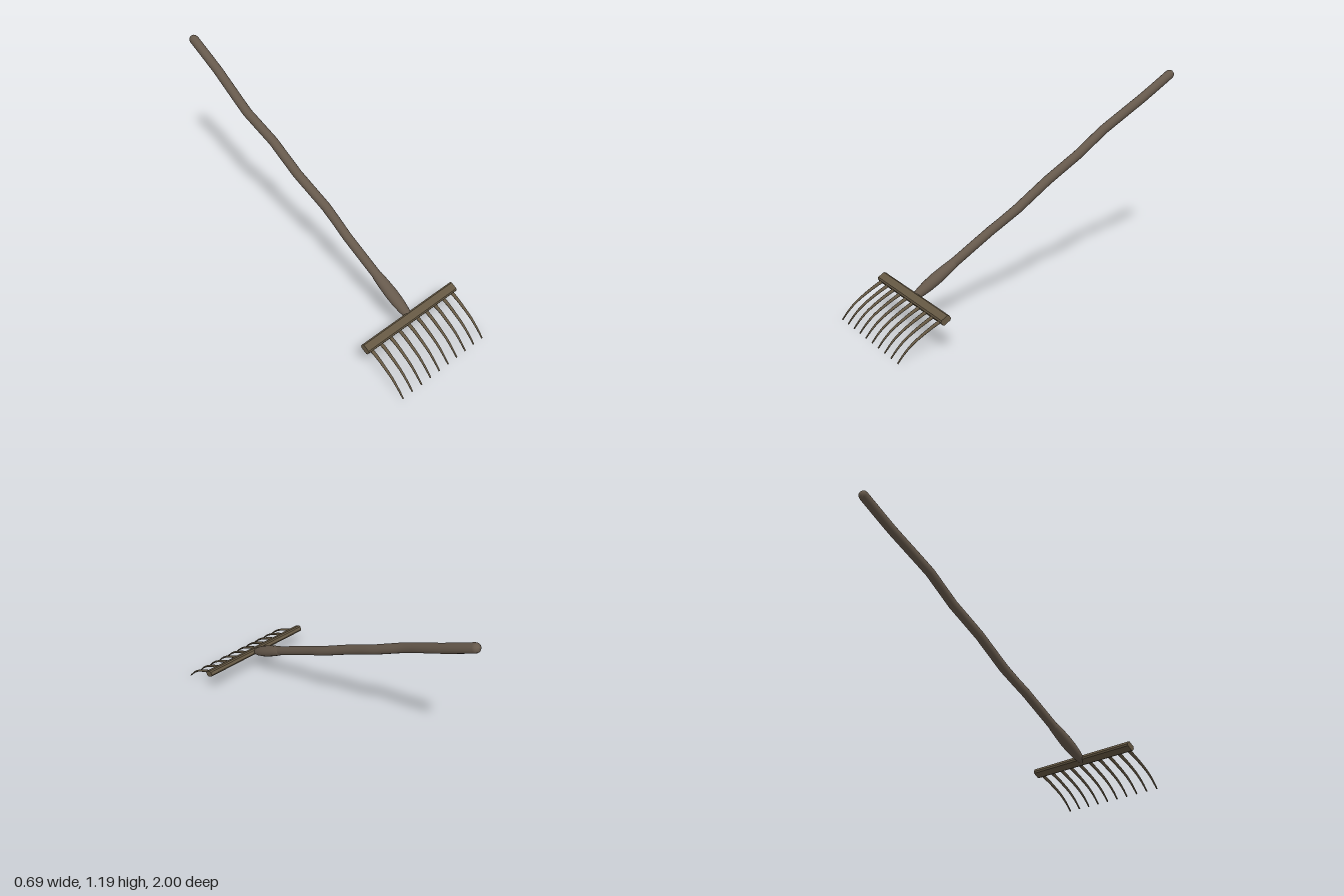
import * as THREE from 'three';

const handleWood = new THREE.MeshStandardMaterial({ color: 0x66594c });
handleWood.name = 'handle wood';
const headWood = new THREE.MeshStandardMaterial({ color: 0x655843 });
headWood.name = 'head wood';

const SLOPE = Math.PI / 6;
const axisY = (z) => 0.606 - Math.tan(SLOPE) * z; // sloping line of the handle

// Skin elliptical rings [x, y, z, sideRadius, depthRadius] into a tube
function loft(name, rings, sides, material) {
  const centres = rings.map((r) => new THREE.Vector3(r[0], r[1], r[2]));
  const positions = [], index = [];
  rings.forEach(([, , , rx, ry = rx], i) => {
    const before = centres[Math.max(i - 1, 0)];
    const after = centres[Math.min(i + 1, rings.length - 1)];
    const dir = after.clone().sub(before).normalize();
    const u = new THREE.Vector3(1, 0, 0).addScaledVector(dir, -dir.x).normalize();
    const v = dir.clone().cross(u);
    for (let j = 0; j < sides; j++) {
      const a = (j / sides) * Math.PI * 2;
      const p = centres[i].clone()
        .addScaledVector(u, rx * Math.cos(a))
        .addScaledVector(v, ry * Math.sin(a));
      positions.push(p.x, p.y, p.z);
      if (i === 0) continue;
      const k = (j + 1) % sides, lo = (i - 1) * sides, hi = i * sides;
      index.push(lo + j, lo + k, hi + k, lo + j, hi + k, hi + j);
    }
  });
  const geometry = new THREE.BufferGeometry();
  geometry.setAttribute('position', new THREE.Float32BufferAttribute(positions, 3));
  geometry.setIndex(index);
  geometry.computeVertexNormals();
  const mesh = new THREE.Mesh(geometry, material);
  mesh.name = name;
  return mesh;
}

export function createModel() {
  const model = new THREE.Group();
  model.name = 'rake';

  // Crooked handle with a domed end: [x, z, radius]
  const handle = [
    [0, 0.55, 0.026], [0, 0.49, 0.026], [0, 0.26, 0.026], [0.006, 0.18, 0.026],
    [0.01, 0.09, 0.027], [0.006, 0.03, 0.027], [-0.005, -0.12, 0.027],
    [-0.002, -0.23, 0.027], [0.001, -0.32, 0.027], [-0.012, -0.45, 0.027],
    [-0.018, -0.51, 0.027], [-0.014, -0.58, 0.027], [-0.001, -0.77, 0.027],
    [0, -0.85, 0.027], [0, -0.973, 0.027], [0, -0.985, 0.0235],
    [0, -0.993, 0.015], [0, -0.997, 0],
  ].map(([x, z, r]) => [x, axisY(z), z, r]);
  model.add(loft('handle', handle, 14, handleWood));

  // Swollen socket joining the handle to the head
  const socket = [
    [0.488, 0.024], [0.493, 0.029], [0.54, 0.033], [0.6, 0.036], [0.65, 0.034],
    [0.69, 0.029], [0.725, 0.021], [0.74, 0.014], [0.745, 0],
  ].map(([z, r]) => [0, axisY(z), z, r, r * 0.92]);
  model.add(loft('socket', socket, 16, handleWood));

  // Chamfered crossbar, tilted with the handle
  const w = 0.028, h = 0.017, c = 0.008;
  const section = new THREE.Shape([
    [w, h - c], [w - c, h], [c - w, h], [-w, h - c],
    [-w, c - h], [c - w, -h], [w - c, -h], [w, c - h],
  ].map(([x, y]) => new THREE.Vector2(x, y)));
  const barGeometry = new THREE.ExtrudeGeometry(section, { depth: 0.692, bevelEnabled: false });
  barGeometry.translate(0, 0, -0.346);
  barGeometry.rotateY(Math.PI / 2);
  barGeometry.rotateX(SLOPE);
  const bar = new THREE.Mesh(barGeometry, headWood);
  bar.name = 'crossbar';
  bar.position.set(0, 0.185, 0.74);
  model.add(bar);

  // Ten curved, tapering tines
  const curve = new THREE.CatmullRomCurve3([
    [0.008, 0.178, 0.745], [0.008, 0.159, 0.79], [0.005, 0.127, 0.85],
    [0.002, 0.086, 0.915], [0, 0.044, 0.962], [0, 0.003, 0.998],
  ].map((p) => new THREE.Vector3(...p)));
  for (let i = 0; i < 10; i++) {
    const rings = curve.getPoints(12).map((p, k) => {
      const t = k / 12;
      return [p.x, p.y, p.z, 0.011 - 0.006 * t, 0.01 - 0.007 * t];
    });
    const tip = rings[rings.length - 1];
    rings.push([tip[0], tip[1] - 0.001, tip[2] + 0.001, 0, 0]);
    const tine = loft(`tine${i + 1}`, rings, 8, headWood);
    tine.position.x = -0.325 + i * 0.0703;
    model.add(tine);
  }
  return model;
}
